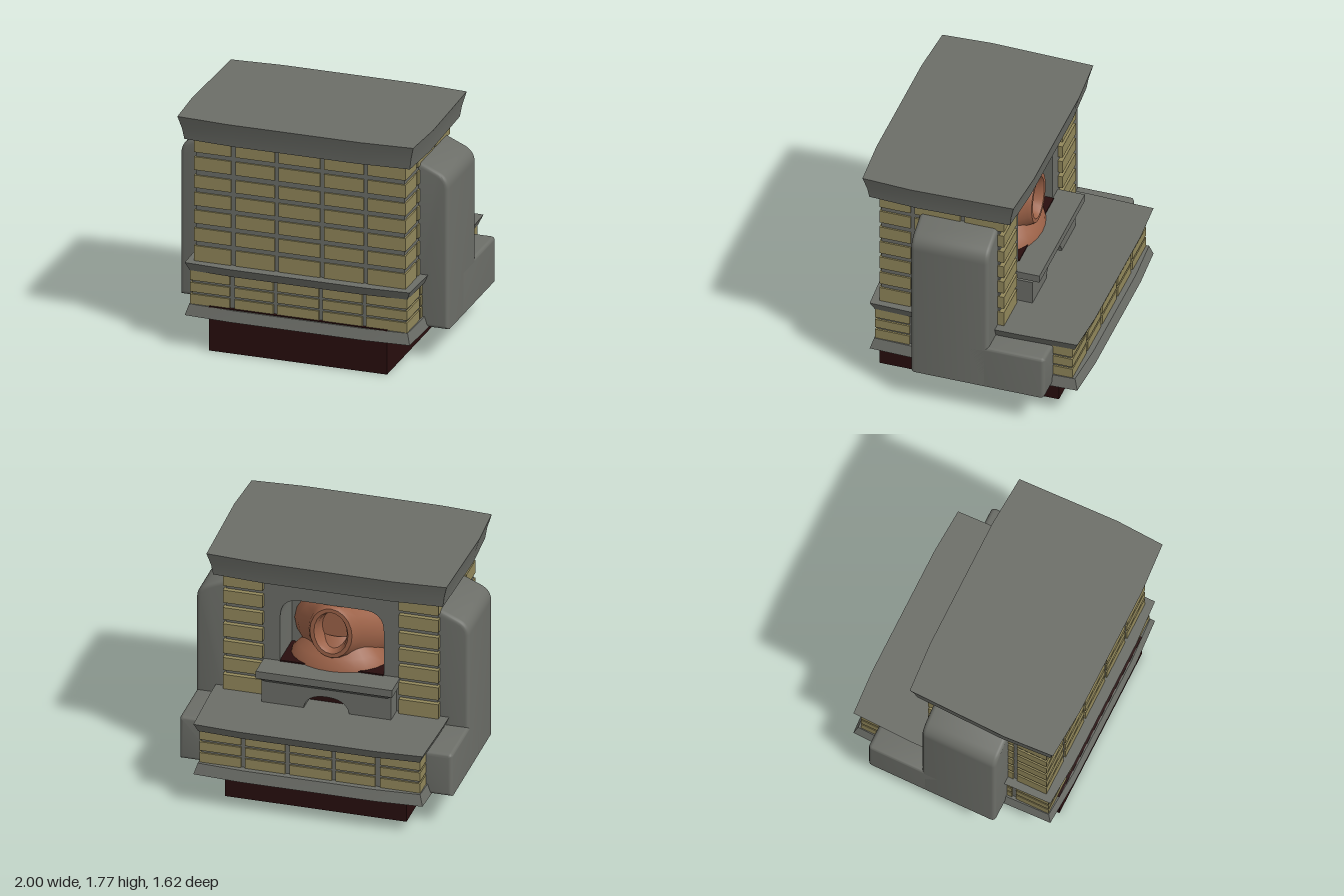
import * as THREE from 'three';
import { toCreasedNormals } from 'three/addons/utils/BufferGeometryUtils.js';

const material = (name, color, extra = {}) => {
  const m = new THREE.MeshStandardMaterial({ color, ...extra });
  m.name = name;
  return m;
};

// Slab with a gently bowed outline; half = right-hand outline [x, z] front to back,
// profile = [y, inset] from bottom to top
function flaredSlab(half, profile) {
  const plan = [...half, ...half.map(([x, z]) => [-x, z]).reverse()];
  const midZ = (half[0][1] + half[half.length - 1][1]) / 2;
  const n = plan.length, pos = [], idx = [];
  for (const [y, inset] of profile)
    for (const [x, z] of plan) pos.push(x - Math.sign(x) * inset, y, z - Math.sign(z - midZ) * inset);
  for (let r = 0; r < profile.length - 1; r++)
    for (let i = 0; i < n; i++) {
      const a = r * n + i, b = r * n + (i + 1) % n;
      idx.push(a, b, b + n, a, b + n, a + n);
    }
  const top = (profile.length - 1) * n;
  for (let i = 1; i < n - 1; i++) idx.push(top, top + i, top + i + 1, 0, i + 1, i);
  const g = new THREE.BufferGeometry();
  g.setAttribute('position', new THREE.Float32BufferAttribute(pos, 3));
  g.setIndex(idx);
  return toCreasedNormals(g, 0.3);
}

// Smooth skin through elliptical loops [x radius, y radius, centre y, z]
function loft(loops, seg = 20) {
  const pos = [], idx = [];
  for (const [rx, ry, cy, z] of loops)
    for (let i = 0; i < seg; i++) {
      const t = (i / seg) * Math.PI * 2;
      pos.push(rx * Math.cos(t), cy + ry * Math.sin(t), z);
    }
  for (let r = 0; r < loops.length - 1; r++)
    for (let i = 0; i < seg; i++) {
      const a = r * seg + i, b = r * seg + (i + 1) % seg;
      idx.push(a, b + seg, b, a, a + seg, b + seg);
    }
  const g = new THREE.BufferGeometry();
  g.setAttribute('position', new THREE.Float32BufferAttribute(pos, 3));
  g.setIndex(idx);
  return toCreasedNormals(g, 0.7);
}

export function createModel() {
  const model = new THREE.Group();
  model.name = 'masonryOven';
  const stone = material('greyStone', 0x6c6e68);
  const brick = material('ochreBrick', 0x92885b);
  const dark = material('darkMaroon', 0x280e0e);
  const clay = material('clay', 0x9c6248, { side: THREE.DoubleSide });

  const add = (name, geo, mat, parent = model) => {
    const m = new THREE.Mesh(geo, mat);
    m.name = name;
    parent.add(m);
    return m;
  };
  // Box given by its limits
  const box = (name, mat, x0, x1, y0, y1, z0, z1, parent) => {
    const m = add(name, new THREE.BoxGeometry(x1 - x0, y1 - y0, z1 - z0), mat, parent);
    m.position.set((x0 + x1) / 2, (y0 + y1) / 2, (z0 + z1) / 2);
    return m;
  };

  // Foundation, plinth, ledge and roof
  box('foundation', dark, -0.665, 0.665, 0, 0.335, -0.6, 0.73);
  const lowerPlan = [[0.5, 0.765], [0.84, 0.745], [0.855, 0.2], [0.855, -0.33], [0.84, -0.795], [0.5, -0.815]];
  add('plinth', flaredSlab(lowerPlan, [[0.25, 0], [0.33, 0.025]]), stone);
  add('ledge', flaredSlab(lowerPlan, [[0.585, 0.028], [0.65, 0]]), stone);
  const roofPlan = [[0.5, 0.81], [0.88, 0.785], [0.9, 0.42], [0.88, -0.335], [0.5, -0.36]];
  add('roof', flaredSlab(roofPlan, [[1.59, 0.038], [1.67, 0.026], [1.77, 0]]), stone);

  // Grout cores: lower tier, upper solid part, and the part holding the niche
  box('lowerCore', stone, -0.797, 0.797, 0.3, 0.6, -0.737, 0.702);
  box('upperCore', stone, -0.778, 0.778, 0.6, 1.62, 0.1, 0.678);
  const wall = new THREE.Shape();
  wall.moveTo(-0.778, 0.6).lineTo(0.778, 0.6).lineTo(0.778, 1.62).lineTo(-0.778, 1.62);
  const niche = new THREE.Path();
  niche.moveTo(-0.38, 0.68).lineTo(-0.38, 1.27).quadraticCurveTo(-0.38, 1.42, -0.23, 1.42);
  niche.lineTo(0.23, 1.42).quadraticCurveTo(0.38, 1.42, 0.38, 1.27).lineTo(0.38, 0.68);
  wall.holes.push(niche);
  const nicheGeo = new THREE.ExtrudeGeometry(wall, { depth: 0.3, bevelEnabled: false, curveSegments: 8 });
  add('nicheWall', toCreasedNormals(nicheGeo, 0.5), stone).position.z = -0.2;

  // Brickwork
  const bricks = new THREE.Group();
  bricks.name = 'brickwork';
  model.add(bricks);
  const upperRows = [[0.65, 0.765], [0.8, 0.9], [0.935, 1.035], [1.07, 1.17], [1.205, 1.3], [1.34, 1.44], [1.475, 1.59]];
  const lowerRows = [[0.33, 0.405], [0.423, 0.492], [0.51, 0.585]];
  const joints = [[-0.515, -0.48], [-0.19, -0.16], [0.15, 0.18], [0.475, 0.505]];
  // Spans between the joints of a wall running from a to b
  const spans = (a, b, gaps) => {
    const edges = [a, ...gaps.flat(), b];
    return edges.filter((_, i) => i % 2 === 0).map((e, i) => [e, edges[2 * i + 1]]);
  };
  const courses = (rows, hx, back, front, sideGaps, backSpans, depth) => {
    for (const [y0, y1] of rows) {
      for (const [a, b] of spans(-hx, hx, joints)) box('frontBrick', brick, a, b, y0, y1, front - 0.04, front, bricks);
      for (const [a, b] of backSpans) box('backBrick', brick, a, b, y0, y1, back, back + depth, bricks);
      for (const [a, b] of spans(back, front, sideGaps))
        for (const s of [-1, 1])
          box('sideBrick', brick, s > 0 ? hx - 0.04 : -hx, s > 0 ? hx : -hx + 0.04, y0, y1, a, b, bricks);
    }
  };
  courses(upperRows, 0.79, -0.235, 0.69, [[0.06, 0.09], [0.43, 0.46]], [[-0.79, -0.5], [0.5, 0.79]], 0.06);
  courses(lowerRows, 0.81, -0.75, 0.715, [[-0.4, -0.37], [0.06, 0.09], [0.43, 0.46]], spans(-0.81, 0.81, joints), 0.04);

  // Rounded side buttresses with low rear shoulders
  const rounded = (shape, z0, z1) => {
    const r = 0.03;
    const g = new THREE.ExtrudeGeometry(shape, {
      depth: z1 - z0 - 2 * r, bevelThickness: r, bevelSize: r, bevelOffset: -r, bevelSegments: 4, curveSegments: 8,
    });
    g.translate(0, 0, z0 + r);
    return toCreasedNormals(g, 0.6);
  };
  for (const s of [-1, 1]) {
    const tall = new THREE.Shape();
    tall.moveTo(s * 0.7, 0.25).lineTo(s, 0.25).lineTo(s, 1.32);
    tall.quadraticCurveTo(s, 1.4, s * 0.92, 1.435).lineTo(s * 0.79, 1.492).lineTo(s * 0.7, 1.495);
    add('buttress', rounded(tall, -0.187, 0.39), stone);
    const low = new THREE.Shape();
    low.moveTo(s * 0.7, 0.25).lineTo(s, 0.25).lineTo(s, 0.56);
    low.quadraticCurveTo(s, 0.587, s * 0.97, 0.587).lineTo(s * 0.7, 0.587);
    add('buttressShoulder', rounded(low, -0.605, 0.1), stone);
  }

  // Mantel: arched front block with a flared shelf
  const front = new THREE.Shape();
  front.moveTo(-0.475, 0.64).lineTo(-0.165, 0.64).lineTo(-0.165, 0.66);
  front.quadraticCurveTo(-0.14, 0.76, 0, 0.76).quadraticCurveTo(0.14, 0.76, 0.165, 0.66);
  front.lineTo(0.165, 0.64).lineTo(0.475, 0.64).lineTo(0.475, 0.83).lineTo(-0.475, 0.83);
  const block = new THREE.ExtrudeGeometry(front, { depth: 0.14, bevelEnabled: false, curveSegments: 8 });
  add('mantelBlock', toCreasedNormals(block, 0.5), stone).position.z = -0.34;
  const shelfPlan = [[0.5, -0.19], [0.5, -0.4]];
  add('mantelShelf', flaredSlab(shelfPlan, [[0.82, 0.055], [0.863, 0.005], [0.863, 0], [0.92, 0]]), stone);
  box('firebox', dark, -0.379, 0.379, 0.65, 0.93, -0.21, 0.09);

  // Clay oven: recessed mouth, rim and body widening into the niche
  add('clayOven', loft([
    [0.001, 0.001, 1.2, -0.1], [0.1, 0.13, 1.2, -0.1], [0.11, 0.15, 1.21, -0.2], [0.125, 0.165, 1.21, -0.225],
    [0.155, 0.195, 1.21, -0.225], [0.17, 0.21, 1.21, -0.2], [0.2, 0.22, 1.19, -0.13],
    [0.3, 0.26, 1.14, -0.02], [0.36, 0.28, 1.12, 0.09],
  ]), clay);
  // Spreading foot of the oven
  const foot = new THREE.LatheGeometry(
    [[0.36, 0.9], [0.345, 0.95], [0.3, 1.0], [0.23, 1.07], [0.16, 1.13]].map(([x, y]) => new THREE.Vector2(x, y)), 24);
  foot.scale(1, 1, 0.72);
  add('clayFoot', foot, clay);

  return model;
}
